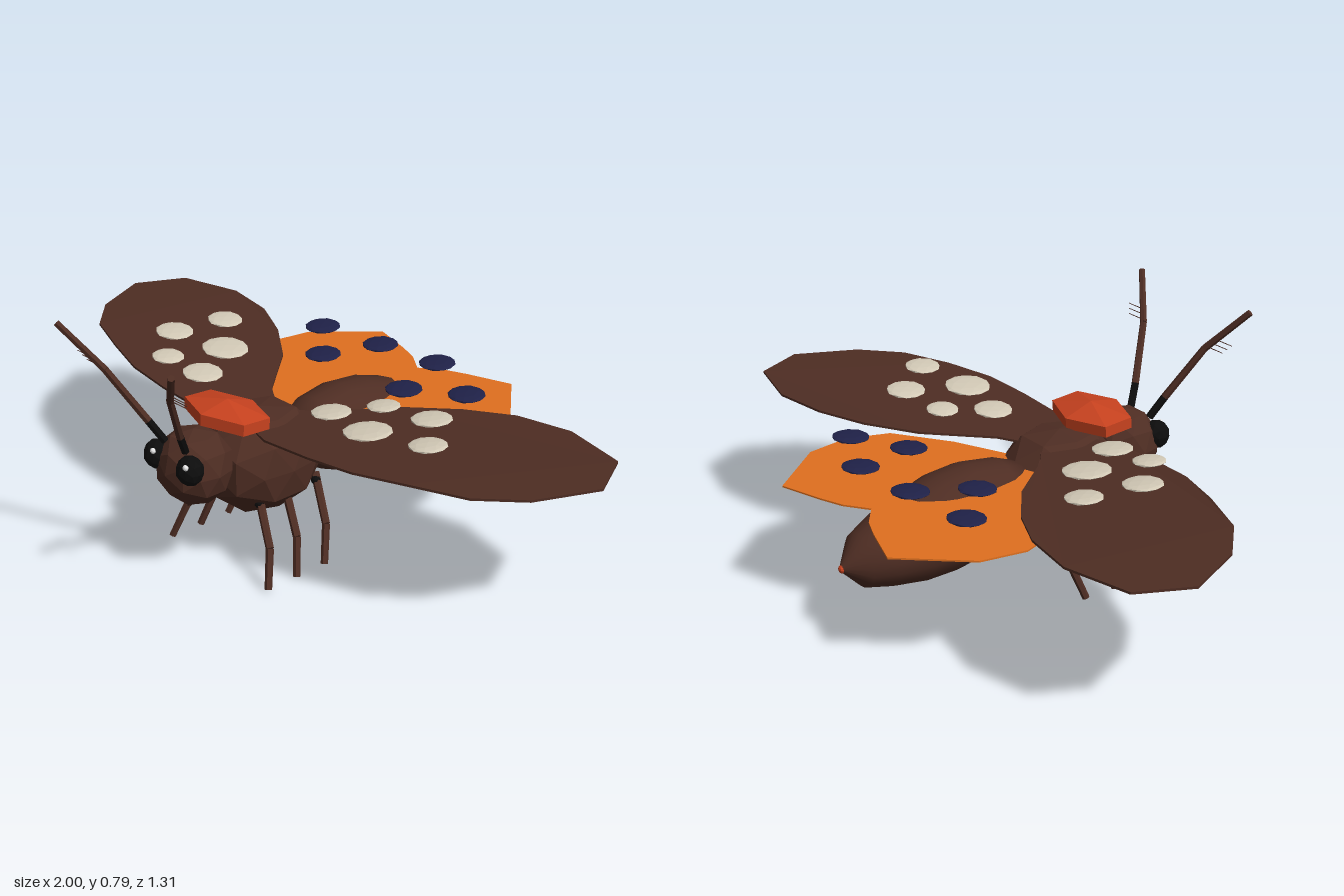
import * as THREE from 'three';

const mat = (name, color, flatShading = true) => {
  const m = new THREE.MeshStandardMaterial({ color, flatShading });
  m.name = name;
  return m;
};

// Faceted ball, squared off as p rises above 2
const boxyBall = p => {
  const g = new THREE.IcosahedronGeometry(1, 1), a = g.attributes.position;
  for (let i = 0; i < a.count; i++) {
    const v = new THREE.Vector3().fromBufferAttribute(a, i);
    const n = (Math.abs(v.x) ** p + Math.abs(v.y) ** p + Math.abs(v.z) ** p) ** (1 / p);
    a.setXYZ(i, v.x / n, v.y / n, v.z / n);
  }
  g.computeVertexNormals();
  return g;
};

export function createModel() {
  const group = new THREE.Group();
  const brown = mat('brown', 0x4e2d23);
  const smoothBrown = mat('smoothBrown', 0x4e2d23, false);
  const red = mat('red', 0xc8421f);
  const orange = mat('orange', 0xe0701f);
  const navy = mat('navy', 0x1f2148);
  const cream = mat('cream', 0xd2c9b6);
  const black = mat('black', 0x0d0d0d);
  const white = mat('white', 0xe8e8e8);

  const add = (name, geometry, material) => {
    const mesh = new THREE.Mesh(geometry, material);
    mesh.name = name;
    group.add(mesh);
    return mesh;
  };
  const blob = (name, geometry, material, pos, scale) => {
    const mesh = add(name, geometry, material);
    mesh.position.set(...pos);
    mesh.scale.set(...scale);
    return mesh;
  };
  // Straight limb segment between two points
  const rod = (name, a, b, r0, r1, material) => {
    const p = new THREE.Vector3(...a), q = new THREE.Vector3(...b);
    const d = q.clone().sub(p);
    const mesh = add(name, new THREE.CylinderGeometry(r1, r0, d.length(), 6), material);
    mesh.position.copy(p).add(q).multiplyScalar(0.5);
    mesh.quaternion.setFromUnitVectors(new THREE.Vector3(0, 1, 0), d.normalize());
  };
  // Thin flat plate from an x/z outline, lifted by a rule of x
  const plate = (name, outline, s, thick, lift, material) => {
    const shape = new THREE.Shape(outline.map(([x, z]) => new THREE.Vector2(s * x, -z)));
    const g = new THREE.ExtrudeGeometry(shape, { depth: thick, bevelEnabled: false });
    g.rotateX(-Math.PI / 2);
    const p = g.attributes.position;
    for (let i = 0; i < p.count; i++) p.setY(i, p.getY(i) + lift(Math.abs(p.getX(i))));
    g.computeVertexNormals();
    add(name, g, material);
  };

  // Faceted body
  const ball = boxyBall(2);
  blob('head', boxyBall(2.2), brown, [0, 0.354, 0.372], [0.112, 0.114, 0.108]);
  blob('thorax', boxyBall(2.7), brown, [0, 0.307, 0.13], [0.155, 0.153, 0.18]);

  // Smooth abdomen lofted from elliptical rings: z, centre y, half width, half height
  const rings = [
    [-0.02, 0.308, 0.005, 0.005], [-0.025, 0.308, 0.085, 0.085], [-0.09, 0.303, 0.118, 0.114],
    [-0.2, 0.288, 0.14, 0.143], [-0.3, 0.274, 0.142, 0.147], [-0.4, 0.257, 0.135, 0.132],
    [-0.5, 0.245, 0.112, 0.107], [-0.575, 0.235, 0.08, 0.081], [-0.642, 0.224, 0.002, 0.002],
  ];
  const sides = 20, pos = [], index = [];
  rings.forEach(([z, y, rx, ry], j) => {
    for (let i = 0; i < sides; i++) {
      const a = (i / sides) * Math.PI * 2;
      pos.push(Math.cos(a) * rx, y + Math.sin(a) * ry, z);
      if (j === 0) continue;
      const n = (i + 1) % sides, p = (j - 1) * sides, q = j * sides;
      index.push(p + i, q + i, p + n, p + n, q + i, q + n);
    }
  });
  const abdomen = new THREE.BufferGeometry();
  abdomen.setAttribute('position', new THREE.Float32BufferAttribute(pos, 3));
  abdomen.setIndex(index);
  abdomen.computeVertexNormals();
  add('abdomen', abdomen, smoothBrown);
  blob('abdomenTip', new THREE.SphereGeometry(1, 8, 6), red, [0, 0.224, -0.634], [0.012, 0.012, 0.009]);

  // Hexagonal collar: a low dome with upright rim
  const collarProfile = [[0, -0.03], [0.15, -0.018], [0.15, 0.016], [0, 0.042]].map(p => new THREE.Vector2(...p));
  blob('collar', new THREE.LatheGeometry(collarProfile, 6), red, [0, 0.478, 0.25], [1, 1, 0.645]).rotation.x = -0.08;

  const foreOutline = [
    [0.05, 0.2], [0.14, 0.232], [0.315, 0.23], [0.475, 0.215], [0.635, 0.165], [0.8, 0.1], [0.915, -0.01],
    [1, -0.2], [0.925, -0.355], [0.72, -0.405], [0.545, -0.375], [0.4, -0.305], [0.26, -0.2], [0.11, -0.02], [0.05, 0.02],
  ];
  const hindOutline = [
    [0, 0.02], [0.08, 0], [0.25, -0.08], [0.42, -0.2], [0.465, -0.33], [0.44, -0.47],
    [0.28, -0.655], [0.14, -0.61], [0.07, -0.582], [0, -0.53],
  ];
  const foreLift = x => 0.42 + 0.036 * Math.min(1, x / 0.6);

  for (const s of [1, -1]) {
    const side = s > 0 ? 'left' : 'right';
    plate(side + 'Forewing', foreOutline, s, 0.007, foreLift, brown);
    plate(side + 'Hindwing', hindOutline, s, 0.005, () => 0.378, orange);

    // Eyes with a small glint
    blob(side + 'Eye', ball, black, [s * 0.072, 0.387, 0.447], [0.042, 0.045, 0.04]);
    blob(side + 'EyeGlint', ball, white, [s * 0.072 + 0.018, 0.412, 0.477], [0.009, 0.009, 0.008]);

    // Antennae with fine bristles
    const a = [s * 0.045, 0.435, 0.44], b = [s * 0.07, 0.5, 0.477];
    const c = [s * 0.143, 0.66, 0.565], d = [s * 0.25, 0.787, 0.643];
    rod(side + 'AntennaBase', a, b, 0.012, 0.012, black);
    rod(side + 'AntennaLower', b, c, 0.012, 0.011, brown);
    rod(side + 'AntennaUpper', c, d, 0.011, 0.01, brown);
    for (const t of [0.05, 0.15, 0.25]) {
      const p = c.map((v, i) => v + (d[i] - v) * t);
      rod(side + 'Bristle', p, [p[0] + s * 0.07, p[1], p[2]], 0.0015, 0.001, brown);
    }

    // Three legs a side
    ['front', 'middle', 'hind'].forEach((leg, i) => {
      const z = [0.218, 0.118, -0.003][i], foot = [0.288, 0.178, 0.068][i];
      const knee = z + (foot - z) * 0.5, n = side + '_' + leg;
      rod(n + 'Thigh', [s * 0.09, 0.23, z - 0.008], [s * 0.185, 0.112, knee], 0.013, 0.012, brown);
      rod(n + 'Shin', [s * 0.185, 0.112, knee], [s * 0.217, 0.004, foot], 0.012, 0.011, brown);
      blob(n + 'Hip', ball, black, [s * 0.102, 0.213, z], [0.015, 0.015, 0.015]);
    });
  }

  // Raised wing spots, lens shaped: x, z, radius
  const foreSpots = [
    [0.28, -0.1, 0.05], [0.45, -0.12, 0.061], [0.2, 0.03, 0.06], [0.378, 0.06, 0.072], [0.57, 0.02, 0.056],
    [-0.488, -0.16, 0.056], [-0.335, -0.03, 0.073], [-0.518, 0.02, 0.06], [-0.395, 0.145, 0.05], [-0.25, 0.13, 0.062],
  ];
  for (const [x, z, r] of foreSpots) {
    const m = blob('forewingSpot', ball, cream, [x, 0.465 + 0.072 * Math.abs(x), z], [r, 0.009, r]);
    m.rotation.z = Math.sign(x) * 0.08;
  }
  const hindSpots = [
    [-0.325, -0.43], [-0.095, -0.46], [-0.175, -0.29], [0.125, -0.485], [0.335, -0.39], [0.175, -0.29],
  ];
  for (const [x, z] of hindSpots) {
    blob('hindwingSpot', ball, navy, [x, 0.43 - 0.05 * z, z], [0.057, 0.009, 0.057]).rotation.x = 0.05;
  }
  return group;
}
